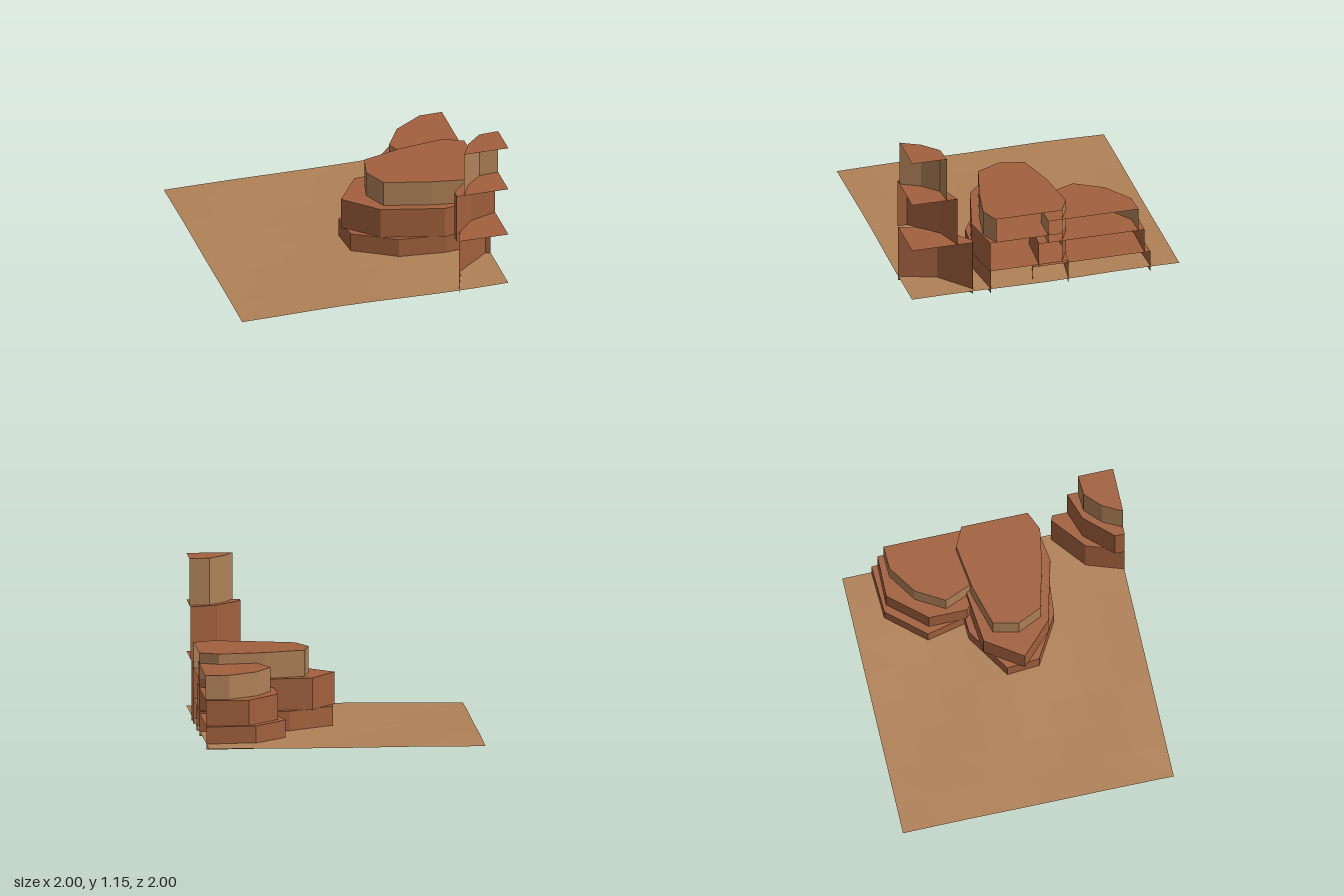
import * as THREE from 'three';

const sand = new THREE.MeshStandardMaterial({ name: 'sand', color: 0xb08157, flatShading: true, side: THREE.DoubleSide });
const rust = new THREE.MeshStandardMaterial({ name: 'rust rock', color: 0xa2603d, flatShading: true, side: THREE.DoubleSide });

// Each tier: wall material, base and top height, outline [x, z] from the
// back cut end round to the front cut end; the cut side stays open.
const formations = {
  middleMesa: [
    { wall: rust, y0: 0, y1: 0.18, outline: [[1, -0.17], [0.6, -0.22], [0.35, -0.21], [0.02, 0], [0.04, 0.24], [0.35, 0.42], [0.7, 0.45], [1, 0.41]] },
    { wall: rust, y0: 0.175, y1: 0.41, outline: [[1, -0.12], [0.86, -0.19], [0.57, -0.18], [0.18, -0.14], [0, 0.125], [0.23, 0.35], [0.68, 0.465], [1, 0.415]] },
    { wall: sand, y0: 0.41, y1: 0.6, outline: [[1, -0.12], [0.86, -0.19], [0.53, -0.145], [0.23, -0.06], [0.19, 0.125], [0.27, 0.3], [0.6, 0.385], [0.86, 0.43], [1, 0.37]] },
  ],
  backMesa: [
    { wall: rust, y0: 0, y1: 0.165, outline: [[1, -0.785], [0.64, -0.77], [0.405, -0.5], [0.47, -0.21], [0.68, 0.015], [1, 0.095]] },
    { wall: rust, y0: 0.165, y1: 0.35, outline: [[1, -0.74], [0.69, -0.745], [0.46, -0.48], [0.46, -0.2], [0.68, 0.035], [1, 0.05]] },
    { wall: sand, y0: 0.35, y1: 0.525, outline: [[1, -0.695], [0.83, -0.69], [0.62, -0.55], [0.5, -0.345], [0.59, -0.125], [0.8, -0.02], [1, -0.02]] },
  ],
  cornerTower: [
    { wall: rust, y0: 0, y1: 0.435, outline: [[1, 0.55], [0.965, 0.535], [0.72, 0.735], [0.63, 1]], corner: true },
    { wall: rust, y0: 0.435, y1: 0.81, outline: [[1, 0.66], [0.8, 0.73], [0.615, 0.93], [0.615, 1]], corner: true },
    { wall: sand, y0: 0.81, y1: 1.15, outline: [[1, 0.74], [0.855, 0.75], [0.74, 0.86], [0.668, 1]], corner: true },
  ],
};

// Upright strip of wall following the outline
function wallGeometry(outline, y0, y1) {
  const pos = [];
  for (let i = 0; i < outline.length - 1; i++) {
    const [ax, az] = outline[i], [bx, bz] = outline[i + 1];
    pos.push(ax, y0, az, bx, y1, bz, bx, y0, bz);
    pos.push(ax, y0, az, ax, y1, az, bx, y1, bz);
  }
  const g = new THREE.BufferGeometry();
  g.setAttribute('position', new THREE.Float32BufferAttribute(pos, 3));
  // wind the strip so its normals point away from the rock
  for (let i = 0; i < pos.length; i += 9) {
    for (let k = 0; k < 3; k++) [pos[i + 3 + k], pos[i + 6 + k]] = [pos[i + 6 + k], pos[i + 3 + k]];
  }
  g.setAttribute('position', new THREE.Float32BufferAttribute(pos, 3));
  g.computeVertexNormals();
  return g;
}

// Flat lid closing a tier
function capGeometry(outline, y, corner) {
  const pts = corner ? [...outline, [1, 1]] : outline;
  const shape = new THREE.Shape(pts.map(([x, z]) => new THREE.Vector2(x, -z)));
  return new THREE.ShapeGeometry(shape).rotateX(-Math.PI / 2).translate(0, y, 0);
}

function mesh(geometry, material, name) {
  const m = new THREE.Mesh(geometry, material);
  m.name = name;
  return m;
}

export function createModel() {
  const model = new THREE.Group();
  model.name = 'desertMesaTile';

  // Gently uneven desert floor
  const floor = new THREE.PlaneGeometry(2, 2, 8, 8).rotateX(-Math.PI / 2);
  const p = floor.attributes.position;
  for (let i = 0; i < p.count; i++) {
    const x = p.getX(i), z = p.getZ(i);
    p.setY(i, 0.036 + 0.004 * Math.sin(4.1 * x + 2.3 * z) + 0.003 * Math.cos(5.3 * z - 3.1 * x));
  }
  floor.computeVertexNormals();
  model.add(mesh(floor, sand, 'desertFloor'));

  // Stepped rock formations
  for (const [name, tiers] of Object.entries(formations)) {
    const group = new THREE.Group();
    group.name = name;
    tiers.forEach((t, i) => {
      group.add(mesh(wallGeometry(t.outline, t.y0, t.y1), t.wall, `tierWall${i + 1}`));
      group.add(mesh(capGeometry(t.outline, t.y1, t.corner), rust, `tierTop${i + 1}`));
    });
    model.add(group);
  }
  return model;
}
